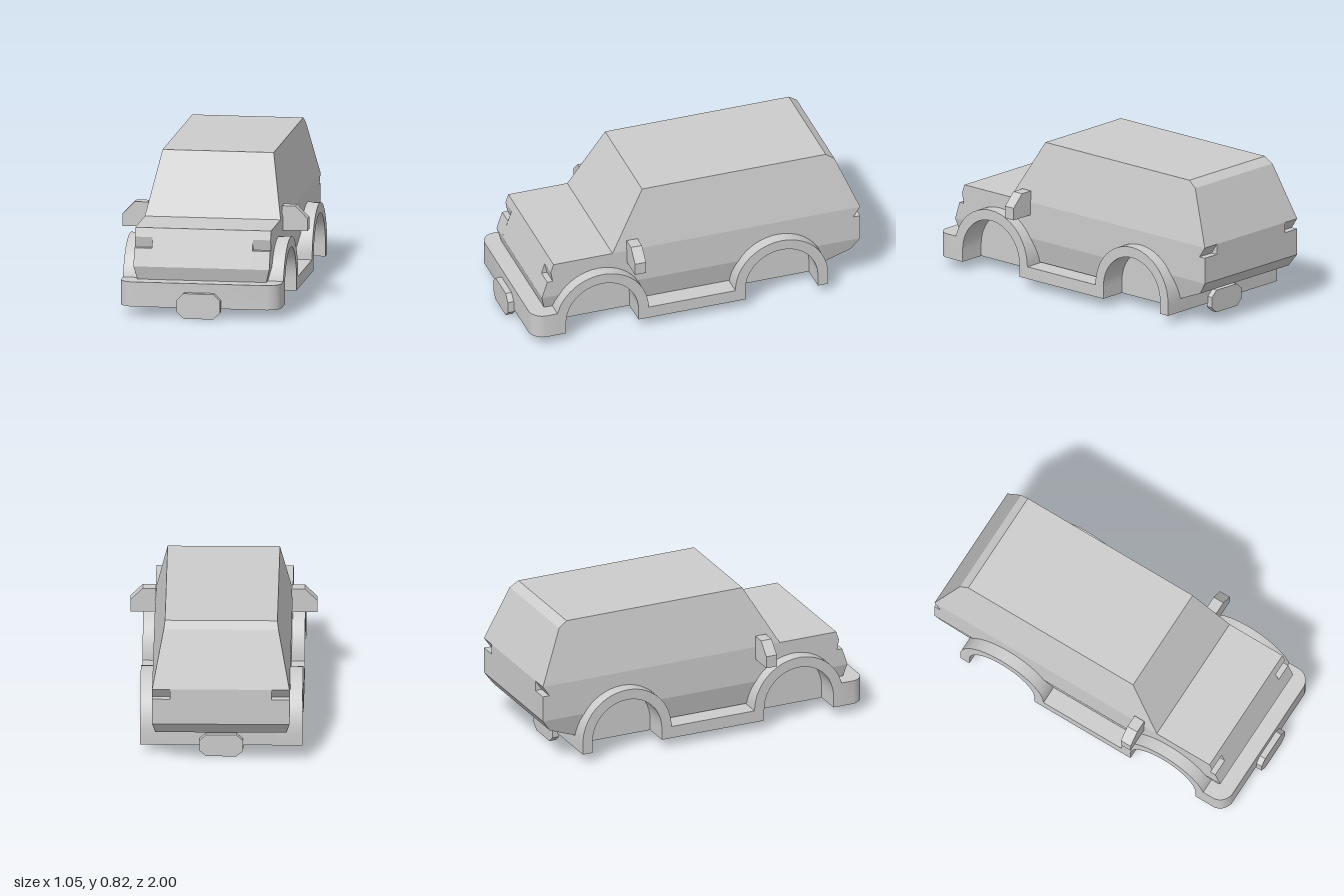
import * as THREE from 'three';
import { toCreasedNormals } from 'three/addons/utils/BufferGeometryUtils.js';

const grey = new THREE.MeshStandardMaterial({ color: 0xcccccc, side: THREE.DoubleSide });
grey.name = 'plain grey';

const LAMP = 0.285;                       // inner edge of the lamp recesses
const WHEELS = [0.555, -0.51], HUB = 0.125;
const vectors = (pts) => pts.map(([u, v]) => new THREE.Vector2(u, v));

// points [z, y] on an arch over a wheel, from angle a to angle b
function arch(z, r, a = 0, b = Math.PI, n = 24) {
  return Array.from({ length: n + 1 }, (_, i) => {
    const t = a + (b - a) * i / n;
    return [z + r * Math.cos(t), HUB + r * Math.sin(t)];
  });
}

// flat panel outlined in [z, y], placed sideways by xOf(y)
function panel(pts, xOf, side) {
  let g = new THREE.ShapeGeometry(new THREE.Shape(vectors(pts)));
  const p = g.attributes.position;
  for (let i = 0; i < p.count; i++) {
    const z = p.getX(i), y = p.getY(i);
    p.setXYZ(i, side * xOf(y), y, z);
  }
  if (side > 0) g.index.array.reverse();
  g = g.toNonIndexed();
  g.computeVertexNormals();
  return g;
}

// skin between two edges following a profile of [z, y, halfWidth]
function strip(profile, left, right) {
  const v = [];
  for (let i = 0; i < profile.length - 1; i++) {
    const [p, q] = [profile[i], profile[i + 1]];
    const a = [left(p[2]), p[1], p[0]], b = [right(p[2]), p[1], p[0]];
    const c = [right(q[2]), q[1], q[0]], d = [left(q[2]), q[1], q[0]];
    v.push(...a, ...b, ...c, ...a, ...c, ...d);
  }
  const g = new THREE.BufferGeometry();
  g.setAttribute('position', new THREE.Float32BufferAttribute(v, 3));
  g.computeVertexNormals();
  return g;
}

// outline in [z, y] extruded sideways from x0 to x1
function sideways(pts, x0, x1) {
  const g = new THREE.ExtrudeGeometry(new THREE.Shape(vectors(pts)), { depth: x1 - x0, bevelEnabled: false });
  g.rotateY(-Math.PI / 2).translate(x1, 0, 0);
  return toCreasedNormals(g, 0.5);
}

export function createModel() {
  const model = new THREE.Group();
  const add = (name, g) => {
    const m = new THREE.Mesh(g, grey);
    m.name = name;
    model.add(m);
    return m;
  };

  // body skin from the nose over the roof to the tail
  const W = 0.385;
  const nose = [[0.85, 0.13, 0.35], [0.87, 0.195, 0.366], [0.89, 0.27, W]];
  const top = [[0.82, 0.48, W], [0.47, 0.48, W], [0.27, 0.825, 0.315],
    [-0.82, 0.825, 0.315], [-0.87, 0.79, 0.322], [-1, 0.48, W]];
  const tail = [[-1, 0.27, W], [-0.95, 0.2, 0.366], [-0.78, 0.13, 0.35]];
  const frontLamp = [[0.857, 0.37, W], [0.825, 0.37, W], [0.837, 0.43, W]];
  const rearLamp = [[-0.96, 0.42, W], [-1, 0.42, W]];
  const notched = [...nose, ...frontLamp, ...top, ...rearLamp, ...tail];
  add('bodyCentre', strip([...nose, ...top, ...tail], () => -LAMP, () => LAMP));
  add('bodyLeftEdge', strip(notched, () => LAMP, (w) => w));
  add('bodyRightEdge', strip(notched, (w) => -w, () => -LAMP));

  // flare, wheel arch and sill outline
  const [f, r] = WHEELS, R = 0.275, I = 0.215, base = 0.055;
  const flare = [[f + R, base], ...arch(f, R), ...arch(r, R), [r - R, base],
    [r - I, base], ...arch(r, I, Math.PI, 0), [r + I, base],
    [f - I, base], ...arch(f, I, Math.PI, 0), [f + I, base]];

  // side panels, cut away behind the flares
  const C = 0.245, cut = Math.asin((0.27 - HUB) / C), half = C * Math.cos(cut);
  const upper = [[0.89, 0.27], ...frontLamp, [0.82, 0.48], [-1, 0.48], ...rearLamp, [-1, 0.27],
    ...arch(r, C, Math.PI - cut, cut), ...arch(f, C, Math.PI - cut, cut)];
  const lower = [
    [[0.89, 0.27], [f + half, 0.27], [f + C, 0.13], [0.85, 0.13], [0.87, 0.195]],
    [[f - half, 0.27], [r + half, 0.27], [r + C, 0.13], [f - C, 0.13]],
    [[r - half, 0.27], [-1, 0.27], [-0.95, 0.2], [-0.78, 0.13], [r - C, 0.13]],
  ];
  const mirrorShape = [[0.38, 0.405], [0.525, 0.405], [0.525, 0.475], [0.455, 0.545], [0.38, 0.545]];

  for (const s of [1, -1]) {
    const n = s > 0 ? 'left' : 'right';
    add(n + 'SidePanel', panel(upper, () => W, s));
    for (const pts of lower) add(n + 'LowerPanel', panel(pts, (y) => W - 0.25 * (0.27 - y), s));
    add(n + 'CabinSide', panel(top.slice(1), (y) => W - 0.203 * (y - 0.48), s));
    add(n + 'FrontLampCheek', panel(frontLamp, () => LAMP, -s));
    add(n + 'RearLampCheek', panel([[-1, 0.48], ...rearLamp], () => LAMP, -s));
    add(n + 'FlareAndSill', s > 0 ? sideways(flare, 0.3, 0.455) : sideways(flare, -0.455, -0.3));

    // door mirror
    const g = new THREE.ExtrudeGeometry(
      new THREE.Shape(vectors(mirrorShape.map(([x, y]) => [s * x, y]))),
      { depth: 0.065, bevelEnabled: false });
    add(n + 'Mirror', g.translate(0, 0, 0.32));
  }

  // floor block closing the wheel wells
  add('floor', new THREE.BoxGeometry(0.6, 0.305, 1.605).translate(0, base + 0.1525, 0.0175));

  // front bumper with rounded corners, drawn in plan
  const plan = new THREE.Shape();
  plan.moveTo(-0.455, -0.79);
  plan.lineTo(0.455, -0.79);
  plan.lineTo(0.455, -0.895);
  plan.quadraticCurveTo(0.445, -0.95, 0.385, -0.965);
  plan.lineTo(-0.385, -0.965);
  plan.quadraticCurveTo(-0.445, -0.95, -0.455, -0.895);
  const bumper = new THREE.ExtrudeGeometry(plan, { depth: 0.14, bevelEnabled: false, curveSegments: 6 });
  add('frontBumper', toCreasedNormals(bumper.rotateX(-Math.PI / 2).translate(0, base, 0), 0.7));

  // number plate blocks
  const plate = [[-0.123, 0.038], [-0.085, 0], [0.085, 0], [0.123, 0.038],
    [0.123, 0.105], [0.085, 0.143], [-0.085, 0.143], [-0.123, 0.105]];
  for (const [name, z, y] of [['frontPlate', 0.96, 0], ['rearPlate', -0.817, -0.0]]) {
    const g = new THREE.ExtrudeGeometry(new THREE.Shape(vectors(plate)), { depth: 0.04, bevelEnabled: false });
    if (z < 0) g.scale(1, 0.9, 1);
    add(name, g.translate(0, y, z));
  }
  return model;
}
